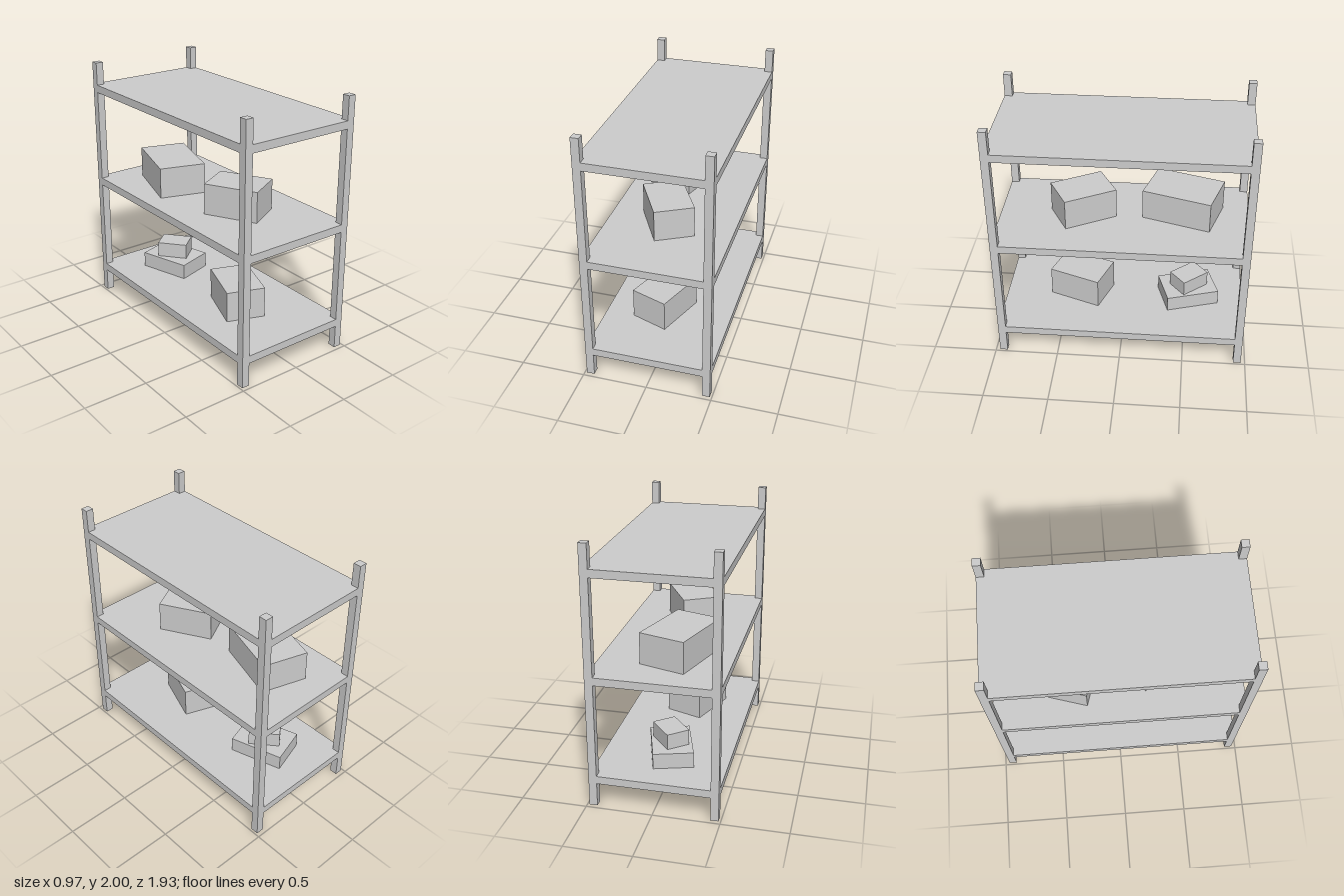
import * as THREE from 'three';

const WIDTH = 0.968, DEPTH = 1.935, HEIGHT = 2, POST = 0.0605;
const SHELF_THICKNESS = 0.0605;
const SHELF_TOPS = [0.245, 1.034, 1.822];

export function createModel() {
  const model = new THREE.Group();
  model.name = 'storageRack';

  const grey = new THREE.MeshStandardMaterial({ color: 0xcccccc });
  grey.name = 'light grey';

  // Box resting on height y, turned about the vertical axis
  function addBox(name, [w, h, d], [x, y, z], turn = 0) {
    const mesh = new THREE.Mesh(new THREE.BoxGeometry(w, h, d), grey);
    mesh.name = name;
    mesh.position.set(x, y + h / 2, z);
    mesh.rotation.y = turn;
    model.add(mesh);
  }

  // Corner posts
  for (const sx of [-1, 1]) {
    for (const sz of [-1, 1]) {
      const name = (sz > 0 ? 'front' : 'back') + (sx > 0 ? 'Left' : 'Right') + 'Post';
      addBox(name, [POST, HEIGHT, POST],
        [sx * (WIDTH - POST) / 2, 0, sz * (DEPTH - POST) / 2]);
    }
  }

  // Shelves, flush with the outside of the posts
  const shelfNames = ['lowerShelf', 'middleShelf', 'upperShelf'];
  SHELF_TOPS.forEach((top, i) => {
    addBox(shelfNames[i], [WIDTH, SHELF_THICKNESS, DEPTH], [0, top - SHELF_THICKNESS, 0]);
  });

  // Cartons on the lower shelf: one in front, a stack of two behind
  const [low, mid] = SHELF_TOPS;
  addBox('lowerFrontCarton', [0.3025, 0.242, 0.4235], [-0.045, low, 0.348], -0.35);
  addBox('stackBottomCarton', [0.3025, 0.121, 0.4235], [-0.031, low, -0.523], 0.3);
  addBox('stackTopCarton', [0.1815, 0.121, 0.242], [-0.028, low + 0.121, -0.526], 0.7);

  // Cartons on the middle shelf
  addBox('middleFrontCarton', [0.3025, 0.242, 0.4235], [-0.021, mid, 0.319], 0.5);
  addBox('middleBackCarton', [0.363, 0.242, 0.5445], [-0.086, mid, -0.455], -0.3);

  return model;
}
